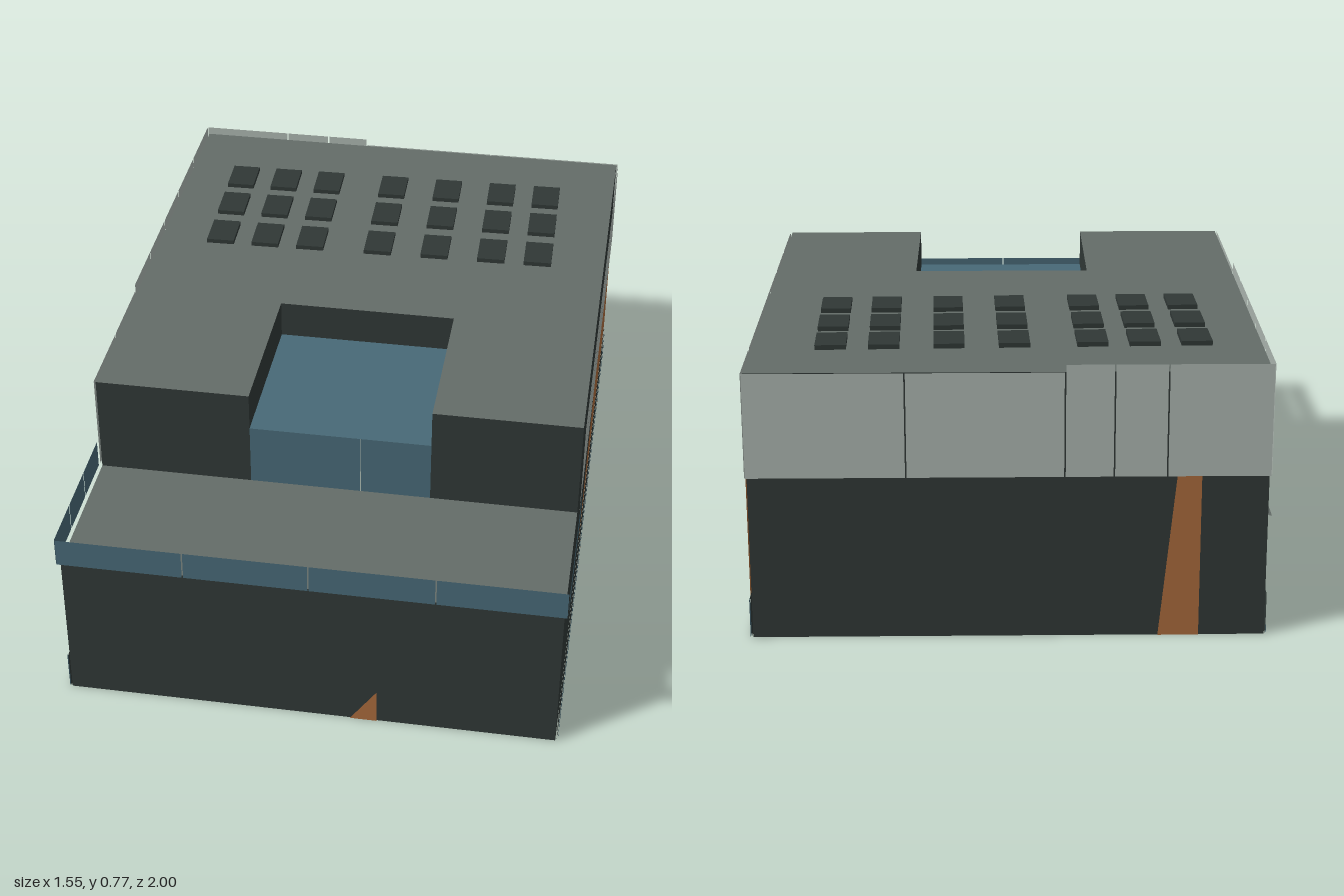
import * as THREE from 'three';

const W = 0.688, L = 0.978;          // half width and half length of the footprint
const ROOF = 0.745, DECK = 0.452;    // roof heights
const STEP = 0.528;                  // where the tall volume meets the terrace
const NX0 = -0.248, NX1 = 0.27, NZ = 0.037, NY = 0.635; // roof recess

const mat = (name, color) => {
  const m = new THREE.MeshStandardMaterial({ color, side: THREE.DoubleSide });
  m.name = name;
  return m;
};

export function createModel() {
  const dark = mat('dark wall', 0x303836);
  const grey = mat('roof grey', 0x646c68);
  const pale = mat('pale cladding', 0xabb5af);
  const teal = mat('teal', 0x486977);
  const orange = mat('orange', 0xa96a3c);

  const model = new THREE.Group();
  const building = new THREE.Group();
  building.name = 'building';
  building.position.set(0.055, 0, -0.003);
  building.rotation.y = -0.0235;
  model.add(building);

  // Flat convex polygon from its corners
  const face = (name, pts, material) => {
    const g = new THREE.BufferGeometry();
    g.setAttribute('position', new THREE.Float32BufferAttribute(pts.flat(), 3));
    const index = [];
    for (let i = 1; i < pts.length - 1; i++) index.push(0, i, i + 1);
    g.setIndex(index);
    g.computeVertexNormals();
    const mesh = new THREE.Mesh(g, material);
    mesh.name = name;
    building.add(mesh);
  };

  // Polygon on an outer side, given as [distance along the side, height]
  const place = {
    front: (a, y, o) => [a, y, L + o],
    back: (a, y, o) => [-a, y, -L - o],
    right: (a, y, o) => [W + o, y, -a],
    left: (a, y, o) => [-W - o, y, a],
  };
  const onSide = (name, side, pts, material, out = 0) =>
    face(name, pts.map(([a, y]) => place[side](a, y, out)), material);
  const rect = (a0, a1, y0, y1) => [[a0, y0], [a1, y0], [a1, y1], [a0, y1]];

  // Horizontal slab and cross wall facing the front
  const level = (name, x0, x1, z0, z1, y, m) =>
    face(name, [[x0, y, z1], [x1, y, z1], [x1, y, z0], [x0, y, z0]], m);
  const cross = (name, x0, x1, y0, y1, z, m) =>
    face(name, [[x0, y0, z], [x1, y0, z], [x1, y1, z], [x0, y1, z]], m);

  // Outer walls, open underneath
  onSide('frontWall', 'front', rect(-W, W, 0, DECK), dark);
  onSide('backWall', 'back', rect(-W, W, 0, ROOF), dark);
  for (const [side, s] of [['right', -1], ['left', 1]]) {
    onSide(side + 'TallWall', side, rect(-L * s, STEP * s, 0, ROOF), dark);
    onSide(side + 'LowWall', side, rect(STEP * s, L * s, 0, DECK), dark);
  }
  cross('upperFrontLeftWall', NX1, W, DECK, ROOF, STEP, dark);
  cross('upperFrontRightWall', -W, NX0, DECK, ROOF, STEP, dark);

  // Roofs
  level('mainRoof', -W, W, -L, NZ, ROOF, grey);
  level('roofWing', -W, NX0, NZ, STEP, ROOF, grey);
  level('roofWing', NX1, W, NZ, STEP, ROOF, grey);
  level('terrace', -W, W, STEP, L, DECK, grey);

  // Recess with a glazed block set in it
  level('glassRoof', NX0, NX1, NZ, STEP, NY, teal);
  const mid = 0.07;
  cross('glassFront', NX0, mid - 0.001, DECK, NY, STEP, teal);
  cross('glassFront', mid + 0.001, NX1, DECK, NY, STEP, teal);
  cross('recessBackWall', NX0, NX1, NY, ROOF, NZ, dark);
  cross('glassBack', NX0, NX1, DECK, NY, NZ, teal);
  for (const x of [NX0, NX1]) {
    const side = (name, y0, y1, m) =>
      face(name, [[x, y0, NZ], [x, y0, STEP], [x, y1, STEP], [x, y1, NZ]], m);
    side('recessSideWall', NY, ROOF, dark);
    side('glassSide', DECK, NY, teal);
  }

  // Rows of panels with narrow joints
  const panels = (name, side, joints, y0, y1, m, out) => {
    for (let i = 0; i < joints.length - 1; i++)
      onSide(name, side, rect(joints[i] + 0.002, joints[i + 1] - 0.002, y0, y1), m, out);
  };
  const CLAD = 0.457;
  panels('rightCladding', 'right',
    [-STEP, -0.277, -0.042, 0.153, 0.348, 0.543, 0.758, L + 0.006], CLAD, ROOF, pale, 0.006);
  panels('leftCladding', 'left', [0.039, 0.277, STEP], CLAD, ROOF, pale, 0.006);
  panels('leftRaisedCladding', 'left',
    [-L - 0.006, -0.758, -0.543, -0.348, -0.153, 0.039], CLAD, 0.766, pale, 0.006);
  panels('backCladding', 'back', [-W - 0.006, -0.27, 0.148], CLAD, ROOF, pale, 0.006);
  panels('backRaisedCladding', 'back', [0.148, 0.278, 0.418, W + 0.006], CLAD, 0.766, pale, 0.006);

  // Terrace parapet
  const P = 0.01, T0 = 0.453, T1 = 0.536;
  panels('frontParapet', 'front', [-W - P, -0.345, 0, 0.345, W + P], T0, T1, teal, P);
  panels('leftParapet', 'left', [STEP, 0.68, 0.83, L + P], T0, T1, teal, P);
  panels('rightParapet', 'right', [-L - P, -0.83, -0.68, -STEP], T0, T1, teal, P);

  // Orange wall areas
  onSide('rightOrangeArea', 'right',
    [[-0.257, 0.12], [L, 0.12], [L, 0.456], [0.398, 0.456]], orange, 0.003);
  onSide('backOrangeArea', 'back',
    [[0.4, 0], [0.51, 0], [0.51, 0.456], [0.445, 0.456]], orange, 0.003);
  onSide('leftOrangeStrip', 'left', rect(0.337, 0.402, 0.11, 0.456), orange, 0.003);
  onSide('leftOrangeStrip', 'left', rect(0.424, 0.5, 0.04, 0.456), orange, 0.008);
  onSide('leftOrangeTriangle', 'left', [[0.235, 0], [0.293, 0], [0.293, 0.11]], orange, 0.009);
  onSide('frontOrangeTriangle', 'front', [[0.113, 0], [0.188, 0], [0.188, 0.107]], orange, 0.003);

  // Sawtooth band along both long sides
  const teeth = 20, pitch = 2 * L / teeth;
  for (const side of ['right', 'left']) {
    onSide(side + 'BaseBand', side, rect(-L, L, 0, 0.118), dark, 0.004);
    for (let i = 0; i < teeth; i++) {
      const a = -L + i * pitch;
      onSide(side + 'Tooth', side, [[a, 0], [a + pitch, 0], [a + pitch, 0.118]], teal, 0.007);
    }
  }
  for (const a of [-0.207, 0.583])
    onSide('rightOrangeSlit', 'right', rect(a - 0.004, a + 0.004, 0, 0.118), orange, 0.009);

  // Entrance ramp
  face('ramp', [[-0.82, 0.002, -0.12], [-0.82, 0.002, 0.507],
    [-W, 0.022, 0.507], [-W, 0.022, -0.12]], grey);

  // Skylights
  for (const x of [-0.438, -0.298, -0.157, 0.054, 0.23, 0.405, 0.548])
    for (const z of [-0.705, -0.53, -0.35]) {
      const s = new THREE.Mesh(new THREE.BoxGeometry(0.084, 0.014, 0.12), dark);
      s.name = 'skylight';
      s.position.set(x, ROOF + 0.006, z);
      model.add(s);
    }

  return model;
}
